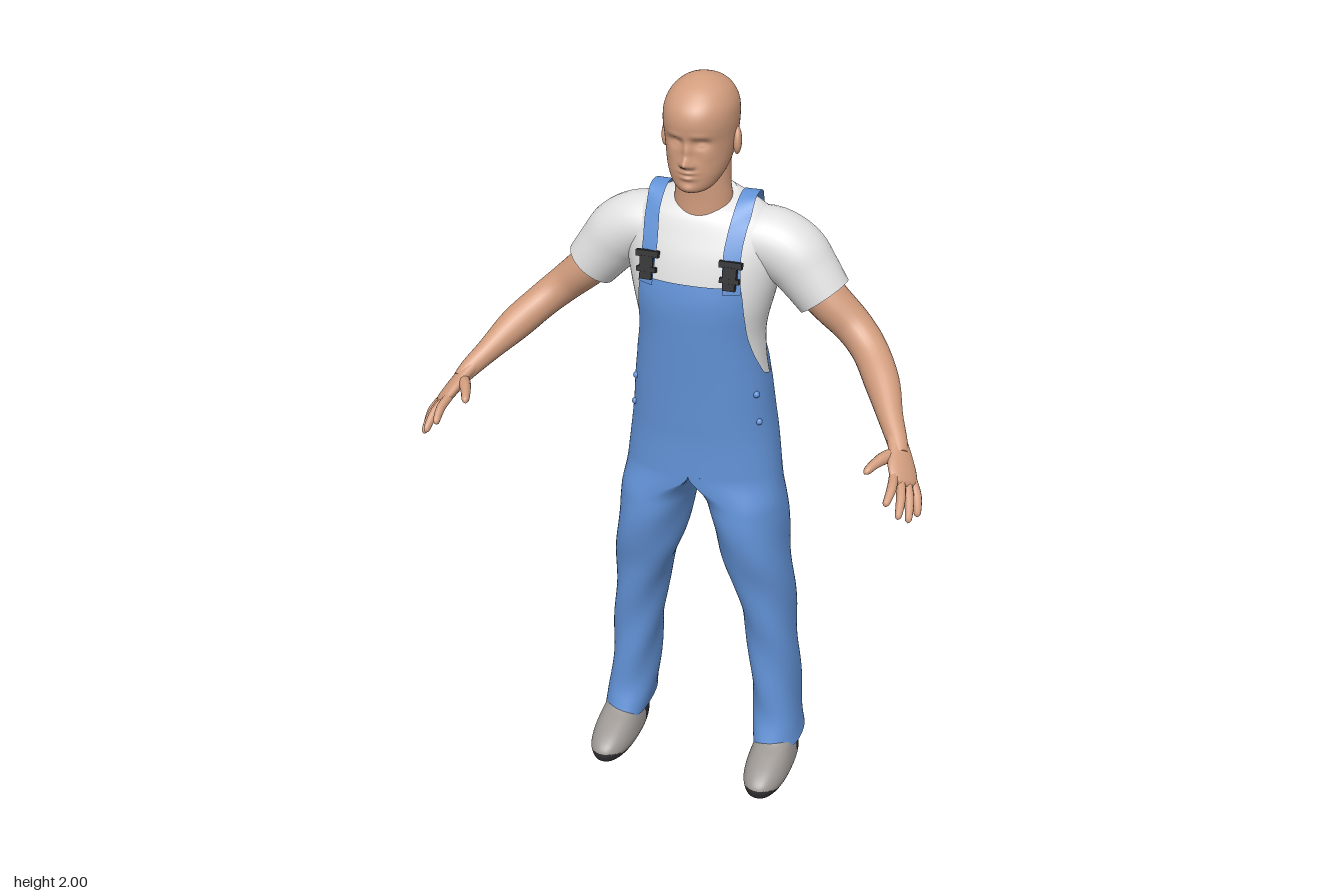
import * as THREE from 'three';

const paint = (name, color, side = THREE.FrontSide) => {
  const m = new THREE.MeshStandardMaterial({ color, side });
  m.name = name;
  return m;
};

// Smooth lookup in a table of rows, t counted in rows
function at(rows, t) {
  const n = rows.length - 1, i = Math.min(Math.floor(t), n - 1), f = t - i;
  const [a, b, c, d] = [rows[Math.max(i - 1, 0)], rows[i], rows[i + 1], rows[Math.min(i + 2, n)]];
  return b.map((v, k) => v + 0.5 * f * (c[k] - a[k] + f * (2 * a[k] - 5 * v + 4 * c[k] - d[k]
    + f * (3 * (v - c[k]) + d[k] - a[k]))));
}
// Same lookup by height (first column rises)
function atY(rows, y) {
  let i = 0;
  while (i < rows.length - 2 && y > rows[i + 1][0]) i++;
  const f = THREE.MathUtils.clamp((y - rows[i][0]) / (rows[i + 1][0] - rows[i][0]), 0, 1);
  return at(rows, i + f);
}

// Closed rings of points fn(angle, v), v = 0..1, with optional end caps
function rings(fn, nu, nv, caps = '') {
  const pos = [], idx = [];
  for (let j = 0; j <= nv; j++)
    for (let i = 0; i < nu; i++) pos.push(...fn(i / nu * Math.PI * 2, j / nv));
  for (let j = 0; j < nv; j++)
    for (let i = 0; i < nu; i++) {
      const a = j * nu + i, b = j * nu + (i + 1) % nu;
      idx.push(a, b, a + nu, b, b + nu, a + nu);
    }
  const cap = (j, flip) => {
    const start = pos.length / 3, mid = [0, 0, 0];
    for (let i = 0; i < nu; i++)
      for (let k = 0; k < 3; k++) {
        const v = pos[(j * nu + i) * 3 + k];
        pos.push(v);
        mid[k] += v / nu;
      }
    pos.push(...mid);
    for (let i = 0; i < nu; i++) {
      const a = start + i, b = start + (i + 1) % nu;
      idx.push(...(flip ? [b, a, start + nu] : [a, b, start + nu]));
    }
  };
  if (caps.includes('s')) cap(0, true);
  if (caps.includes('e')) cap(nv, false);
  const g = new THREE.BufferGeometry();
  g.setAttribute('position', new THREE.Float32BufferAttribute(pos, 3));
  g.setIndex(idx);
  g.computeVertexNormals();
  return g;
}

// Horizontal superellipse ring point, row = [y, halfWidth, zFront, zBack]
const bend = (v, p) => Math.sign(v) * Math.abs(v) ** p;
const ringPoint = ([y, rx, zf, zb, tilt = 0], a, p = 1, grow = 0) => {
  const s = -bend(Math.sin(a), p);
  return [(Math.max(rx, 0) + grow) * bend(Math.cos(a), p), y - tilt * s, (zf + zb) / 2 + ((zf - zb) / 2 + grow) * s];
};

// Limb through rows [x, y, z, a, b]; a is the radius along ref, b across it
function limb(rows, ref, nu = 16, nv = 20, caps = '') {
  const n = rows.length - 1;
  return rings((ang, v) => {
    const t = v * n, [x, y, z, a, b] = at(rows, t);
    const p0 = at(rows, Math.max(t - 0.05, 0)), p1 = at(rows, Math.min(t + 0.05, n));
    const T = new THREE.Vector3(p1[0] - p0[0], p1[1] - p0[1], p1[2] - p0[2]).normalize();
    const A = ref.clone().addScaledVector(T, -ref.dot(T)).normalize();
    const B = T.clone().cross(A);
    return new THREE.Vector3(x, y, z).addScaledVector(A, Math.max(a, 0) * Math.cos(ang))
      .addScaledVector(B, Math.max(b, 0) * Math.sin(ang)).toArray();
  }, nu, nv, caps);
}

function mirror(geo) {
  const g = geo.clone().scale(-1, 1, 1), ix = g.index.array;
  for (let i = 0; i < ix.length; i += 3) [ix[i], ix[i + 1]] = [ix[i + 1], ix[i]];
  g.computeVertexNormals();
  return g;
}

const TORSO = [[0.96, 0.208, 0.005, -0.268, 0], [1.05, 0.197, 0.003, -0.27, 0], [1.12, 0.188, 0.006, -0.264, 0],
  [1.2, 0.18, 0.01, -0.25, 0], [1.28, 0.17, 0.015, -0.24, 0], [1.36, 0.168, 0.02, -0.246, 0], [1.44, 0.185, 0.023, -0.26, 0],
  [1.5, 0.2, 0.015, -0.268, 0], [1.56, 0.212, 0, -0.265, 0], [1.61, 0.212, -0.02, -0.253, 0], [1.65, 0.185, -0.038, -0.228, 0],
  [1.68, 0.14, -0.052, -0.202, 0.012], [1.698, 0.088, -0.056, -0.18, 0.025]];
const TP = 0.9;
const torsoZ = (x, y, side) => {
  const [, rx, zf, zb] = atY(TORSO, y), e = 2 / TP;
  return (zf + zb) / 2 + side * (zf - zb) / 2 * Math.max(0, 1 - Math.abs(x / rx) ** e) ** (1 / e);
};
// Height of the overalls' upper edge by angle away from the front
const EDGE = [[0, 1.505], [0.66, 1.505], [0.72, 1.48], [0.82, 1.43], [0.97, 1.37], [1.17, 1.305], [1.4, 1.25], [1.6, 1.235],
  [1.9, 1.255], [2.2, 1.295], [2.45, 1.345], [2.7, 1.42], [2.9, 1.49], [3, 1.525], [3.15, 1.525]];
const edgeY = (a) => {
  const i = EDGE.findIndex((k) => k[0] > a), [p, q] = [EDGE[i - 1], EDGE[i]];
  return THREE.MathUtils.lerp(p[1], q[1], (a - p[0]) / (q[0] - p[0]));
};
// [y, xInner, xOuter, zFront, zBack]
const LEG = [[0.08, 0.165, 0.293, -0.02, -0.265], [0.12, 0.16, 0.288, -0.035, -0.26], [0.2, 0.152, 0.281, -0.055, -0.25],
  [0.36, 0.137, 0.268, -0.056, -0.243], [0.5, 0.117, 0.258, -0.045, -0.24], [0.6, 0.093, 0.25, -0.03, -0.238],
  [0.7, 0.06, 0.24, -0.008, -0.243], [0.8, 0.036, 0.23, 0.004, -0.25], [0.88, 0.018, 0.218, 0.005, -0.26], [0.96, 0, 0.208, 0.005, -0.268]];
const HEAD = [[1.733, 0, -0.03, -0.03], [1.737, 0.03, -0.004, -0.07], [1.75, 0.05, 0.004, -0.1], [1.775, 0.066, 0.008, -0.14],
  [1.8, 0.075, 0.009, -0.17], [1.83, 0.081, 0.007, -0.188], [1.86, 0.085, 0.01, -0.201], [1.9, 0.088, 0.018, -0.208],
  [1.935, 0.085, 0.01, -0.204], [1.965, 0.071, -0.016, -0.185], [1.985, 0.049, -0.045, -0.16], [1.997, 0.022, -0.075, -0.125], [2, 0, -0.1, -0.1]];
// Face relief: [x, y, width, height, depth]
const FACE = [[0, 1.84, 0.01, 0.022, 0.012], [0, 1.814, 0.011, 0.012, 0.027], [0.013, 1.808, 0.007, 0.007, 0.009],
  [0.032, 1.86, 0.018, 0.011, -0.014], [0.032, 1.857, 0.011, 0.006, 0.006], [0.03, 1.878, 0.022, 0.007, 0.004],
  [0, 1.79, 0.02, 0.005, 0.008], [0, 1.776, 0.018, 0.006, 0.008], [0, 1.748, 0.02, 0.012, 0.008], [0.048, 1.828, 0.015, 0.015, 0.003]];
const SHOE = [[0, 0.046, 0.075, -0.19], [0.008, 0.056, 0.088, -0.204], [0.03, 0.063, 0.095, -0.21], [0.05, 0.062, 0.086, -0.21],
  [0.07, 0.058, 0.058, -0.207], [0.09, 0.052, 0.012, -0.2], [0.11, 0.047, -0.04, -0.195], [0.14, 0.045, -0.06, -0.19]];

export function createModel() {
  const root = new THREE.Group();
  root.name = 'workerInOveralls';
  const skin = paint('skin', 0xd19c7d), white = paint('shirtWhite', 0xe2e2e2);
  const blue = paint('denimBlue', 0x6292d6, THREE.DoubleSide);
  const grey = paint('shoeGrey', 0x9c9793), black = paint('soleBlack', 0x2e2e30);
  const add = (name, geo, mat) => {
    const m = new THREE.Mesh(geo, mat);
    m.name = name;
    root.add(m);
  };
  const pair = (name, geo, mat) => {
    add(name + 'Left', geo, mat);
    add(name + 'Right', mirror(geo), mat);
  };

  // Head, neck and ears
  add('head', rings((a, v) => {
    const p = ringPoint(at(HEAD, v * (HEAD.length - 1)), a, 0.95);
    const front = Math.max(0, -Math.sin(a)) ** 0.5;
    for (const [x, y, w, h, d] of FACE)
      p[2] += front * d * Math.exp(-(((Math.abs(p[0]) - x) / w) ** 2) - ((p[1] - y) / h) ** 2);
    return p;
  }, 120, 96), skin);
  const neck = [[1.6, 0.076, -0.05, -0.18], [1.69, 0.073, -0.052, -0.172], [1.74, 0.068, -0.05, -0.167], [1.82, 0.068, -0.05, -0.175]];
  add('neck', rings((a, v) => ringPoint(at(neck, v * 3), a), 32, 12), skin);
  pair('ear', new THREE.SphereGeometry(1, 16, 12).scale(0.011, 0.033, 0.019).rotateX(-0.15).rotateY(0.3).translate(0.088, 1.845, -0.098), skin);

  // Shirt body and sleeves
  add('shirt', rings((a, v) => ringPoint(at(TORSO, 2 + v * (TORSO.length - 3)), a, TP, -0.006), 64, 50, 'se'), white);
  const zAxis = new THREE.Vector3(0, 0, 1);
  pair('sleeve', limb([[0.1, 1.59, -0.135, 0.085, 0.08], [0.17, 1.588, -0.137, 0.088, 0.083], [0.225, 1.558, -0.138, 0.087, 0.085],
    [0.265, 1.515, -0.136, 0.08, 0.078], [0.308, 1.462, -0.132, 0.072, 0.07]], zAxis, 32, 24, 'se'), white);

  // Arms
  pair('arm', limb([[0.26, 1.51, -0.135, 0.058, 0.055], [0.32, 1.45, -0.135, 0.056, 0.053], [0.385, 1.393, -0.132, 0.05, 0.048],
    [0.438, 1.348, -0.1, 0.046, 0.045], [0.488, 1.302, -0.032, 0.042, 0.043], [0.53, 1.257, 0.045, 0.031, 0.031],
    [0.56, 1.225, 0.095, 0.025, 0.025], [0.575, 1.205, 0.125, 0.022, 0.02]], zAxis, 24, 40, 'e'), skin);

  // Hands
  const spread = new THREE.Vector3(-0.65, 0.46, 0.6).normalize();
  pair('palm', limb([[0.55, 1.235, 0.08, 0.024, 0.02], [0.572, 1.21, 0.115, 0.032, 0.018], [0.588, 1.185, 0.15, 0.042, 0.017],
    [0.602, 1.164, 0.177, 0.039, 0.014], [0.608, 1.156, 0.187, 0.02, 0.006]], spread, 20, 20, 'e'), skin);
  const tips = [['index', 0.03, 0.578, 1.142, 0.266], ['middle', 0.01, 0.61, 1.112, 0.265],
    ['ring', -0.01, 0.63, 1.092, 0.24], ['little', -0.03, 0.643, 1.09, 0.203]];
  for (const [name, k, x, y, z] of tips) {
    const base = new THREE.Vector3(0.598, 1.168, 0.17).addScaledVector(spread, k), tip = new THREE.Vector3(x, y, z);
    const path = [[0, 0.011], [0.45, 0.0115], [0.8, 0.0095], [0.95, 0.007], [1, 0]].map(([f, r]) => {
      const p = base.clone().lerp(tip, f);
      return [p.x + 0.02 * f * (1 - f), p.y + 0.02 * f * (1 - f), p.z, r, r];
    });
    pair(name + 'Finger', limb(path, spread, 10, 12), skin);
  }
  pair('thumb', limb([[0.572, 1.205, 0.12, 0.016, 0.016], [0.548, 1.207, 0.155, 0.016, 0.015], [0.53, 1.202, 0.187, 0.012, 0.012],
    [0.519, 1.195, 0.212, 0.009, 0.009], [0.515, 1.19, 0.22, 0, 0]], spread, 12, 14), skin);

  // Overalls: bib and hips in one shell, then the legs
  add('overallsBib', rings((a, v) => {
    const away = Math.acos(THREE.MathUtils.clamp(-Math.sin(a), -1, 1));
    const y = THREE.MathUtils.lerp(0.96, edgeY(away), v);
    return ringPoint(atY(TORSO, y), a, TP);
  }, 120, 40), blue);
  pair('trouserLeg', rings((a, v) => {
    const [y, xi, xo, zf, zb] = at(LEG, v * (LEG.length - 1));
    const p = ringPoint([y, (xo - xi) / 2, zf, zb], a, TP);
    const w = THREE.MathUtils.smoothstep(y, 0.86, 0.96);
    const fold = (1 - w) * 0.003 * Math.sin(3 * a + 24 * y);
    const half = xo * Math.max(0, bend(Math.cos(a), TP));
    p[0] = THREE.MathUtils.lerp(p[0] + (xi + xo) / 2 + fold * Math.cos(a), half, w);
    p[2] -= fold * Math.sin(a);
    return p;
  }, 48, 60), blue);

  // Straps: from the bib over the shoulder to the middle of the back
  const frontRun = [[0.112, 1.49], [0.108, 1.54], [0.106, 1.59], [0.11, 1.64], [0.113, 1.665]];
  const backRun = [[0.105, 1.66], [0.092, 1.63], [0.07, 1.58], [0.048, 1.53], [0.028, 1.48]];
  const edge = (dx) => new THREE.CatmullRomCurve3([
    ...frontRun.map(([x, y]) => new THREE.Vector3(x + dx, y, torsoZ(x + dx, y, 1) + 0.006)),
    new THREE.Vector3(0.115 + dx, 1.703, -0.1), new THREE.Vector3(0.115 + dx, 1.711, -0.135), new THREE.Vector3(0.112 + dx, 1.7, -0.17),
    ...backRun.map(([x, y]) => new THREE.Vector3(x + dx, y, torsoZ(x + dx, y, -1) - 0.006))]).getPoints(60);
  const lanes = [0.021, 0, -0.021].map(edge);
  const strap = new THREE.PlaneGeometry(1, 1, 2, 60);
  for (let j = 0; j <= 60; j++)
    lanes.forEach((lane, i) => strap.attributes.position.setXYZ(j * 3 + i, ...lane[j].toArray()));
  strap.index.array.reverse();
  strap.computeVertexNormals();
  pair('strap', strap, blue);

  // Buckles and side buttons
  const buckleParts = [[0.058, 0.016, 1.566], [0.034, 0.03, 1.546], [0.05, 0.012, 1.528], [0.03, 0.018, 1.513]];
  for (const [w, h, y] of buckleParts)
    pair('buckle', new THREE.BoxGeometry(w, h, 0.014).rotateX(-0.2).translate(0.107, y, torsoZ(0.107, y, 1) + 0.011), black);
  for (const y of [1.2, 1.12]) {
    const x = atY(TORSO, y)[1] * 0.9;
    pair('sideButton', new THREE.SphereGeometry(0.009, 10, 8).translate(x, y, torsoZ(x, y, 1)), blue);
  }

  // Shoes: grey upper, black sole and heel
  const shoe = rings((a, v) => {
    const p = ringPoint(at(SHOE, v * (SHOE.length - 1)), a, 0.88);
    return [p[0] + 0.232, p[1], p[2]];
  }, 96, 42, 'se');
  const pos = shoe.attributes.position, upper = [], sole = [];
  for (let i = 0; i < shoe.index.count; i += 3) {
    const tri = [0, 1, 2].map((k) => shoe.index.getX(i + k));
    const y = tri.reduce((s, k) => s + pos.getY(k) / 3, 0), z = tri.reduce((s, k) => s + pos.getZ(k) / 3, 0);
    const dark = z < -0.105 - 0.2 * (y - 0.05) || y < 0.018 + 0.018 * THREE.MathUtils.smoothstep(z, 0.03, 0.09);
    (dark ? sole : upper).push(...tri);
  }
  shoe.setIndex([...upper, ...sole]);
  shoe.addGroup(0, upper.length, 0);
  shoe.addGroup(upper.length, sole.length, 1);
  pair('shoe', shoe, [grey, black]);
  return root;
}
